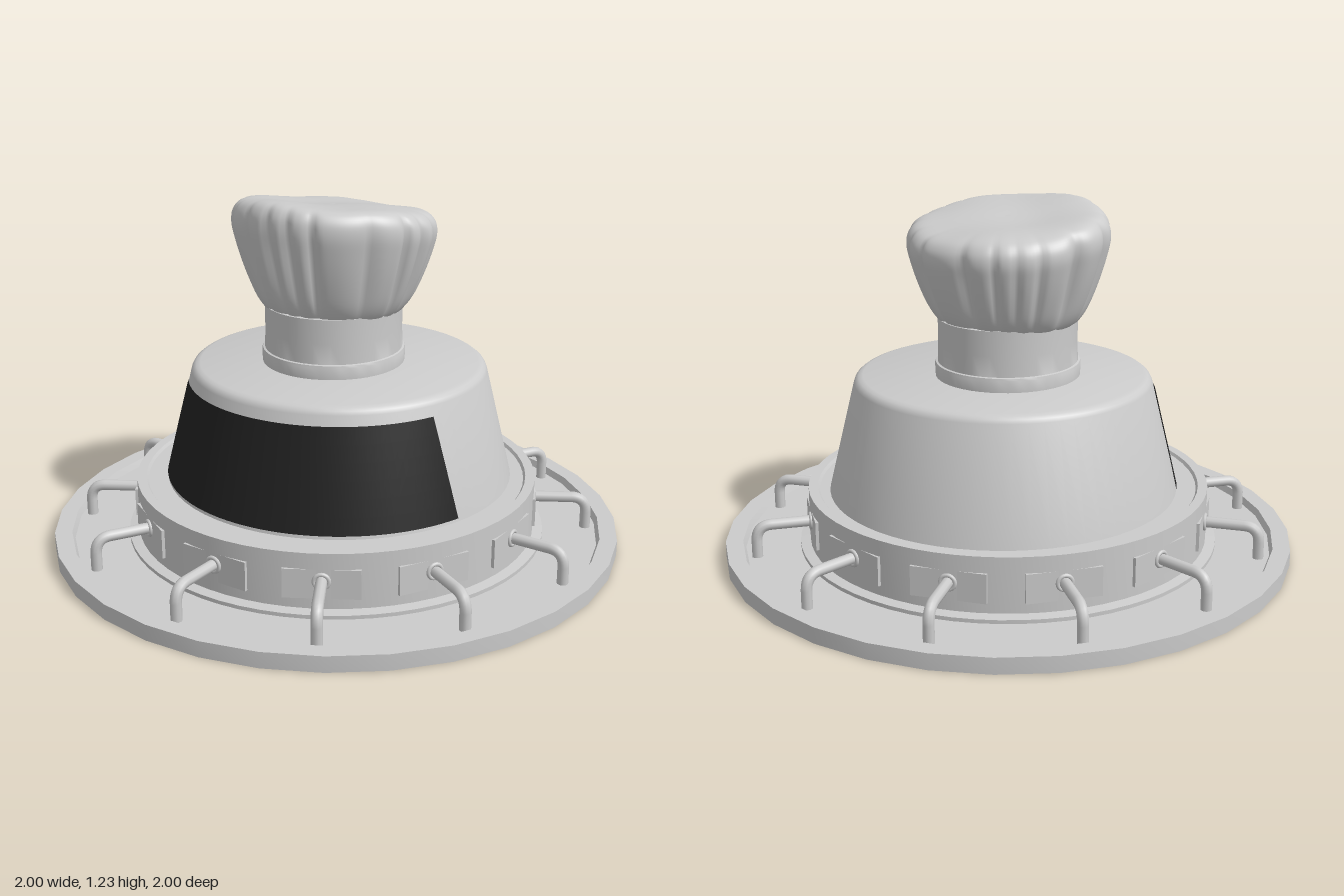
import * as THREE from 'three';
import { toCreasedNormals } from 'three/addons/utils/BufferGeometryUtils.js';

const grey = new THREE.MeshStandardMaterial({ color: 0xcccccc });
const dark = new THREE.MeshStandardMaterial({ color: 0x222222, side: THREE.DoubleSide });

function add(parent, name, geometry, material = grey) {
  const mesh = new THREE.Mesh(geometry, material);
  mesh.name = name;
  parent.add(mesh);
  return mesh;
}

function lathe(points, sides) {
  const g = new THREE.LatheGeometry(points.map(([r, y]) => new THREE.Vector2(r, y)), sides);
  return toCreasedNormals(g, 0.6);
}

// Dark front window: wraps the cone, with side edges cut at a constant depth
function windowGeometry(radiusAt, y0, y1, depth) {
  const g = new THREE.PlaneGeometry(1, 1, 40, 6);
  const p = g.attributes.position;
  for (let i = 0; i < p.count; i++) {
    const y = y0 + (y1 - y0) * (p.getY(i) + 0.5);
    const r = radiusAt(y);
    const a = 2 * p.getX(i) * Math.acos(depth / r);
    p.setXYZ(i, Math.sin(a) * (r + 0.004), y, Math.cos(a) * (r + 0.004));
  }
  g.computeVertexNormals();
  return g;
}

// Pleated cloth crown: a smooth profile folded inward around its side and tilted to the back
function crownGeometry() {
  const profile = new THREE.SplineCurve([
    [0.225, 0.825], [0.25, 0.842], [0.282, 0.89], [0.315, 0.97], [0.34, 1.05],
    [0.352, 1.11], [0.342, 1.155], [0.305, 1.183], [0.22, 1.19], [0.1, 1.187], [0.0, 1.185],
  ].map(([r, y]) => new THREE.Vector2(r, y)));
  const g = new THREE.LatheGeometry(profile.getPoints(50), 160);
  const p = g.attributes.position;
  for (let i = 0; i < p.count; i++) {
    const x = p.getX(i), y = p.getY(i), z = p.getZ(i);
    const a = Math.atan2(x, z);
    const r = Math.hypot(x, z);
    const rise = THREE.MathUtils.clamp((y - 0.83) / 0.36, 0, 1);
    const warped = a + 0.1 * Math.sin(3 * a + 1) + 0.07 * Math.sin(5 * a);
    const fold = Math.pow(1 - Math.abs(Math.sin(warped * 9)), 2);
    const strength = Math.sin(Math.PI * Math.min(1, rise * 0.8 + 0.12)) * (0.75 + 0.25 * Math.sin(4 * a + 2));
    const edge = THREE.MathUtils.smoothstep(r, 0.15, 0.3);
    const k = 1 - 0.11 * fold * strength * edge + 0.012 * Math.sin(4 * a + 1) * rise;
    const tilt = 0.14 * rise * z;
    const dip = 0.006 * Math.sin(x * 14) * Math.cos(z * 12) * rise;
    p.setXYZ(i, x * k, y + tilt + dip, z * k * 0.94);
  }
  // Weld the seam normals by recomputing over the shared rim
  g.computeVertexNormals();
  const n = g.attributes.normal, row = 51, last = 160 * row;
  for (let j = 0; j < row; j++) {
    const v = new THREE.Vector3(n.getX(j) + n.getX(last + j), n.getY(j) + n.getY(last + j), n.getZ(j) + n.getZ(last + j)).normalize();
    n.setXYZ(j, v.x, v.y, v.z);
    n.setXYZ(last + j, v.x, v.y, v.z);
  }
  for (let s = 0; s <= 160; s++) n.setXYZ(s * row + row - 1, 0, 1, 0);
  return g;
}

export function createModel() {
  const model = new THREE.Group();
  model.name = 'domedTurret';

  // Tray with a raised rim
  add(model, 'tray', lathe([[0, 0], [1, 0], [1, 0.055], [0.94, 0.055], [0.93, 0.032], [0, 0.032]], 32));

  // Drum with a foot flange and a shallow lip on top
  add(model, 'drum', lathe([
    [0.74, 0.03], [0.74, 0.045], [0.705, 0.05], [0.705, 0.24], [0.672, 0.24], [0.665, 0.23], [0, 0.23],
  ], 64));

  // Hooks with their mounting plates, evenly spaced around the drum
  const path = new THREE.CurvePath();
  const v = (x, y) => new THREE.Vector3(x, y, 0);
  path.add(new THREE.LineCurve3(v(0.69, 0.145), v(0.84, 0.145)));
  path.add(new THREE.QuadraticBezierCurve3(v(0.84, 0.145), v(0.89, 0.145), v(0.893, 0.095)));
  path.add(new THREE.LineCurve3(v(0.893, 0.095), v(0.893, 0.028)));
  const hookGeometry = new THREE.TubeGeometry(path, 28, 0.019, 10);
  const plateGeometry = new THREE.BoxGeometry(0.02, 0.1, 0.25);
  const socketGeometry = new THREE.TorusGeometry(0.024, 0.007, 8, 20);
  for (let i = 0; i < 12; i++) {
    const arm = new THREE.Group();
    arm.name = 'hookAssembly';
    arm.rotation.y = -THREE.MathUtils.degToRad(9.3 + 30 * i);
    add(arm, 'hook', hookGeometry);
    add(arm, 'mountingPlate', plateGeometry).position.set(0.694, 0.135, 0);
    const socket = add(arm, 'hookSocket', socketGeometry);
    socket.position.set(0.706, 0.145, 0);
    socket.rotation.y = Math.PI / 2;
    model.add(arm);
  }

  // Tapered dome with a softened top edge, set slightly back
  const dome = new THREE.Group();
  dome.name = 'dome';
  dome.position.z = -0.028;
  model.add(dome);
  const radiusAt = (y) => 0.608 - (y - 0.24) * 0.245;
  add(dome, 'domeShell', lathe([
    [radiusAt(0.225), 0.225], [radiusAt(0.615), 0.615], [0.51, 0.627], [0.5, 0.635], [0.485, 0.64], [0, 0.64],
  ], 64));
  add(dome, 'frontWindow', windowGeometry(radiusAt, 0.242, 0.582, 0.268), dark);

  // Pleated hat on top
  const hat = new THREE.Group();
  hat.name = 'hat';
  hat.position.set(-0.022, 0, -0.03);
  model.add(hat);
  const band = add(hat, 'hatBand', lathe([
    [0.247, 0.635], [0.249, 0.68], [0.246, 0.688], [0.239, 0.69], [0.237, 0.76], [0.238, 0.845], [0.2, 0.85],
  ], 48));
  band.scale.z = 1.03;
  add(hat, 'hatCrown', crownGeometry());

  return model;
}
